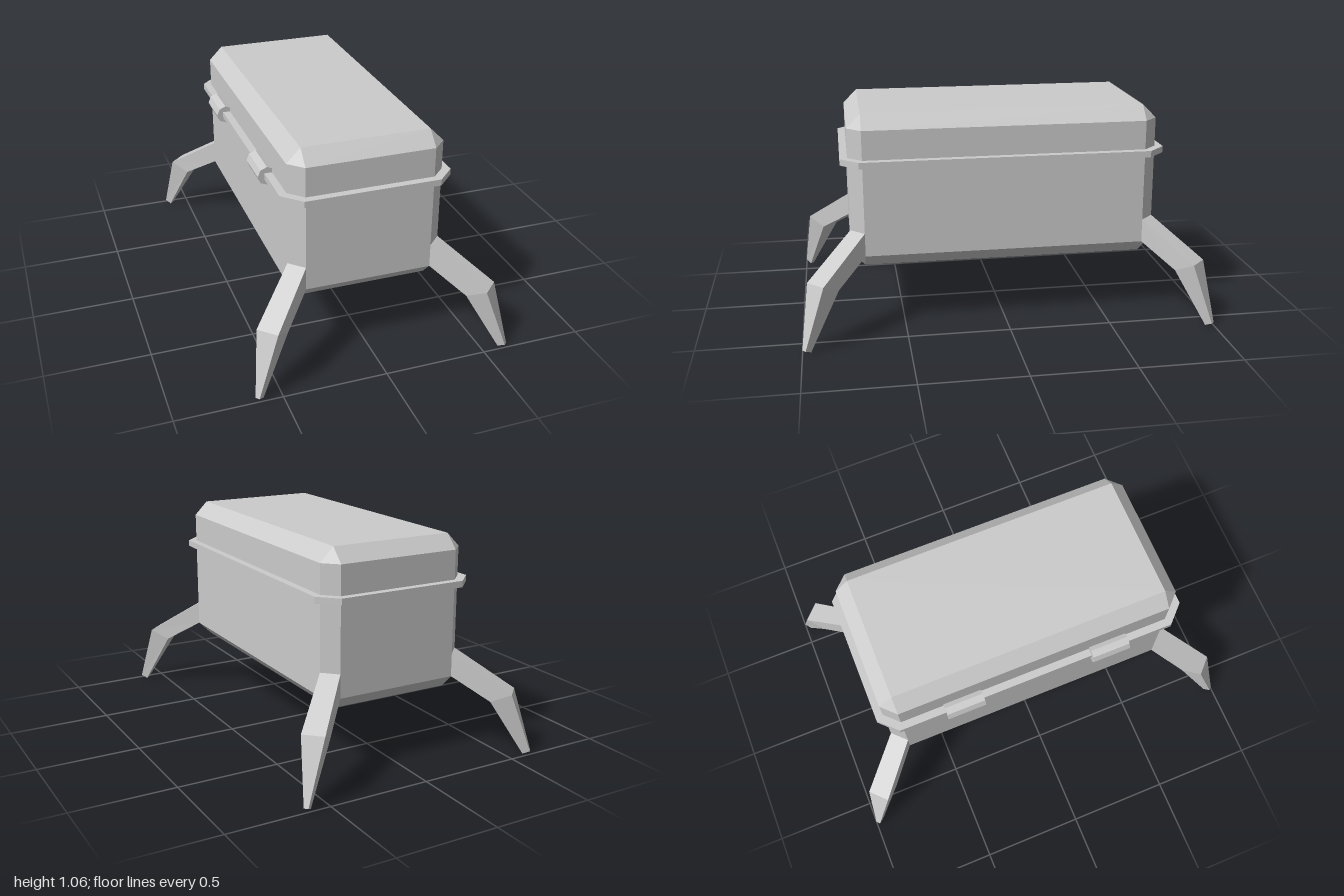
import * as THREE from 'three';

const material = new THREE.MeshStandardMaterial({ color: 0xcccccc, flatShading: true });

// Flat-shaded solid through a stack of rings, each counter-clockwise seen from the last ring's end
function loft(rings, capStart = true, capEnd = true) {
  const pos = [];
  const tri = (a, b, c) => {
    const t = new THREE.Triangle(a, b, c);
    if (t.getArea() > 1e-8) pos.push(...a.toArray(), ...b.toArray(), ...c.toArray());
  };
  const n = rings[0].length;
  for (let k = 0; k < rings.length - 1; k++) {
    for (let i = 0; i < n; i++) {
      const j = (i + 1) % n;
      tri(rings[k][i], rings[k][j], rings[k + 1][j]);
      tri(rings[k][i], rings[k + 1][j], rings[k + 1][i]);
    }
  }
  const first = rings[0], last = rings[rings.length - 1];
  for (let i = 1; i < n - 1; i++) {
    if (capStart) tri(first[0], first[i + 1], first[i]);
    if (capEnd) tri(last[0], last[i], last[i + 1]);
  }
  const geometry = new THREE.BufferGeometry();
  geometry.setAttribute('position', new THREE.Float32BufferAttribute(pos, 3));
  geometry.computeVertexNormals();
  return geometry;
}

// Horizontal rectangle with its corners cut by c
function ring(y, hx, hz, c) {
  return [
    [-hx + c, hz], [hx - c, hz], [hx, hz - c], [hx, -hz + c],
    [hx - c, -hz], [-hx + c, -hz], [-hx, -hz + c], [-hx, hz - c],
  ].map(([x, z]) => new THREE.Vector3(x, y, z));
}

export function createModel() {
  const group = new THREE.Group();
  const add = (name, geometry) => {
    const mesh = new THREE.Mesh(geometry, material);
    mesh.name = name;
    group.add(mesh);
    return mesh;
  };

  const hx = 0.375, hz = 0.753, c = 0.067, seam = 0.835;

  // Chest body and lid, bevelled on every edge
  add('chestBody', loft([ring(0.308, hx - c, hz - c, 0), ring(0.375, hx, hz, c), ring(seam, hx, hz, c)], true, false));
  add('lid', loft([ring(seam, hx, hz, c), ring(0.992, hx, hz, c), ring(1.06, hx - c, hz - c, 0)], false, true));

  // Rim band around the seam
  add('rim', loft([ring(0.819, 0.412, 0.79, 0.086), ring(0.85, 0.412, 0.79, 0.086)]));

  // Two barrel hinges on the right side
  for (const z of [-0.375, 0.375]) {
    const hinge = add('hinge', new THREE.CylinderGeometry(0.045, 0.045, 0.19, 8));
    hinge.rotation.x = Math.PI / 2;
    hinge.position.set(-0.398, seam, z);
  }

  // Bent legs from tip to knee to root; each row: outer z-edge, outer x-edge, inner x-edge, inner z-edge
  const sections = [
    [[0.61, 0.015, 1.0], [0.625, 0.015, 0.985], [0.602, 0, 0.96], [0.585, 0, 0.976]],
    [[0.508, 0.31, 0.965], [0.585, 0.31, 0.89], [0.515, 0.265, 0.82], [0.44, 0.265, 0.893]],
    [[hx - c, 0.49, hz], [hx, 0.49, hz - c], [hx, 0.375, hz - c], [hx - c, 0.375, hz]],
  ];
  for (const [sx, sz, name] of [
    [1, 1, 'frontLeftLeg'], [-1, 1, 'frontRightLeg'], [1, -1, 'backLeftLeg'], [-1, -1, 'backRightLeg'],
  ]) {
    const rings = sections.map((s) => {
      const r = s.map(([x, y, z]) => new THREE.Vector3(x * sx, y, z * sz));
      return sx * sz < 0 ? r.reverse() : r;
    });
    add(name, loft(rings));
  }

  return group;
}
